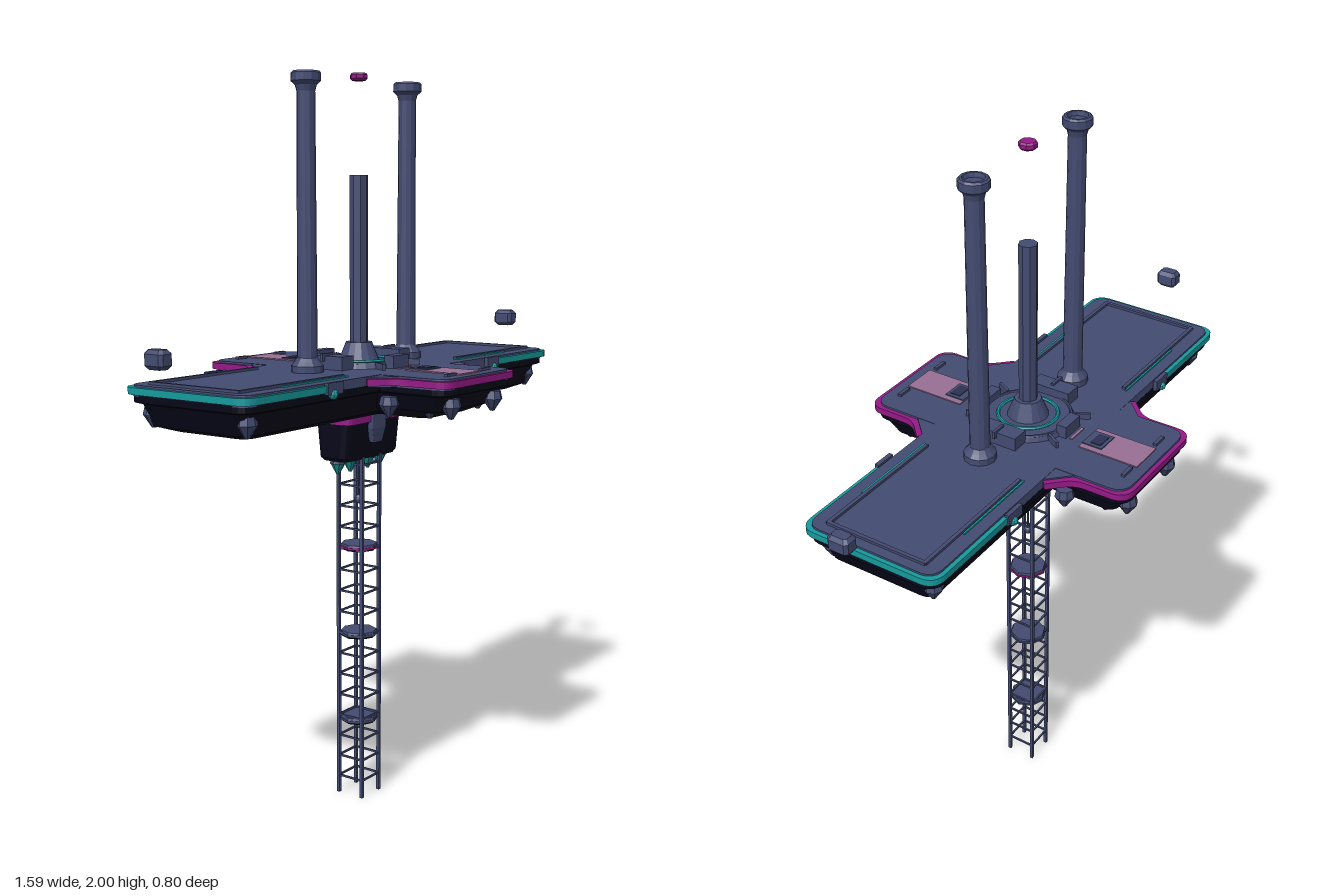
import * as THREE from 'three';

const mat = (name, color) => {
  const m = new THREE.MeshStandardMaterial({ color, flatShading: true });
  m.name = name;
  return m;
};
const navy = mat('navy', 0x434b71), dark = mat('hullDark', 0x060619), trim = mat('trimDark', 0x2b3150);
const teal = mat('teal', 0x169a9d), magenta = mat('magenta', 0x951a86), pink = mat('pinkStripe', 0x987094);

const DECK = 1.2, TOP = 1.228;

// Stacked rounded rectangles [y, halfX, halfZ, cornerRadius], lowest first, capped
function loft(rings, seg = 4) {
  const loops = rings.map(([y, hx, hz, r]) => {
    const pts = [];
    [[1, 1], [-1, 1], [-1, -1], [1, -1]].forEach(([sx, sz], q) => {
      for (let i = 0; i <= seg; i++) {
        const a = (q + i / seg) * Math.PI / 2;
        pts.push([sx * (hx - r) + r * Math.cos(a), y, sz * (hz - r) + r * Math.sin(a)]);
      }
    });
    return pts;
  });
  const pos = [], n = loops[0].length, last = loops.length - 1;
  for (let j = 0; j < n; j++) {
    const k = (j + 1) % n;
    for (let i = 0; i < last; i++) {
      const a = loops[i], b = loops[i + 1];
      pos.push(...a[j], ...b[j], ...a[k], ...b[j], ...b[k], ...a[k]);
    }
    pos.push(0, rings[0][0], 0, ...loops[0][j], ...loops[0][k]);
    pos.push(0, rings[last][0], 0, ...loops[last][k], ...loops[last][j]);
  }
  const g = new THREE.BufferGeometry();
  g.setAttribute('position', new THREE.Float32BufferAttribute(pos, 3));
  g.computeVertexNormals();
  return g;
}

// Square strip along a flat polyline of [x, z] points with rounded corners
function rimStrip(pts, y, half, corner = 0.035) {
  const path = new THREE.CurvePath(), v = pts.map(([x, z]) => new THREE.Vector3(x, y, z));
  let from = v[0];
  for (let i = 1; i < v.length - 1; i++) {
    const a = v[i].clone().lerp(v[i - 1], Math.min(0.4, corner / v[i].distanceTo(v[i - 1])));
    const b = v[i].clone().lerp(v[i + 1], Math.min(0.4, corner / v[i].distanceTo(v[i + 1])));
    path.add(new THREE.LineCurve3(from, a));
    path.add(new THREE.QuadraticBezierCurve3(a, v[i], b));
    from = b;
  }
  path.add(new THREE.LineCurve3(from, v[v.length - 1]));
  const section = new THREE.Shape([[-1, -1], [1, -1], [1, 1], [-1, 1]].map(([a, b]) => new THREE.Vector2(a * half, b * half)));
  return new THREE.ExtrudeGeometry(section, { steps: 120, extrudePath: path, bevelEnabled: false });
}

export function createModel() {
  const root = new THREE.Group();
  const add = (name, geo, m, x = 0, y = 0, z = 0) => {
    const mesh = new THREE.Mesh(geo, m);
    mesh.name = name;
    mesh.position.set(x, y, z);
    root.add(mesh);
    return mesh;
  };
  const box = (name, m, w, h, d, x, y, z) => add(name, new THREE.BoxGeometry(w, h, d), m, x, y, z);
  const cyl = (name, m, rt, rb, h, x, y, z, n = 16) => add(name, new THREE.CylinderGeometry(rt, rb, h, n), m, x, y, z);
  const both = [-1, 1];
  const corners = (fn) => both.forEach(sx => both.forEach(sz => fn(sx, sz)));

  // Cross-shaped deck: two rounded slabs and four corner gussets
  add('longDeck', loft([[DECK, 0.69, 0.19, 0.035], [TOP, 0.688, 0.188, 0.035]]), navy);
  add('shortDeck', loft([[DECK, 0.166, 0.39, 0.04], [TOP, 0.163, 0.388, 0.04]]), navy);
  corners((sx, sz) => {
    const s = new THREE.Shape([[0.155, 0.18], [0.22, 0.18], [0.22, 0.188], [0.163, 0.245], [0.155, 0.245]]
      .map(([x, z]) => new THREE.Vector2(sx * x, sz * z)));
    const g = new THREE.ExtrudeGeometry(s, { depth: TOP - DECK - 0.001, bevelEnabled: false });
    add('deckGusset', g.rotateX(-Math.PI / 2), navy, 0, DECK, 0);
  });

  // Coloured rims around each arm, set just below the deck edge
  for (const s of both) {
    add('tealRim', rimStrip([[s * 0.39, 0.191], [s * 0.691, 0.191], [s * 0.691, -0.191], [s * 0.39, -0.191]], 1.214, 0.009), teal);
    add('magentaRim', rimStrip([[-0.225, s * 0.191], [-0.166, s * 0.25], [-0.166, s * 0.391],
      [0.166, s * 0.391], [0.166, s * 0.25], [0.225, s * 0.191]], 1.214, 0.009), magenta);
  }

  // Tapered hull under both arms
  add('longHull', loft([[1.11, 0.61, 0.12, 0.03], [1.125, 0.655, 0.155, 0.03], [1.18, 0.675, 0.175, 0.04],
    [1.185, 0.69, 0.19, 0.04], [1.205, 0.69, 0.19, 0.04]]), dark);
  add('shortHull', loft([[1.115, 0.1, 0.29, 0.03], [1.14, 0.14, 0.35, 0.03], [1.18, 0.155, 0.375, 0.04],
    [1.185, 0.165, 0.39, 0.04], [1.205, 0.165, 0.39, 0.04]]), dark);

  // Lamps below, clips along the edges, slots on the deck
  corners((sx, sz) => {
    for (const [x, z] of [[0.64, 0.15], [0.115, 0.31], [0.1, 0.365], [0.16, 0.215], [0.1, 0.14]]) {
      cyl('lampBase', navy, 0.022, 0.027, 0.022, sx * x, 1.163, sz * z, 8);
      cyl('lampCone', navy, 0.027, 0.006, 0.032, sx * x, 1.136, sz * z, 8);
    }
    box('edgeClip', navy, 0.06, 0.03, 0.012, sx * 0.37, 1.215, sz * 0.198);
    add('clipLight', new THREE.SphereGeometry(0.013, 8, 6), teal, sx * 0.375, 1.2, sz * 0.2);
    box('deckSlot', navy, 0.042, 0.01, 0.01, sx * 0.083, TOP + 0.002, sz * 0.35);
  });

  // Long-arm panel frames
  for (const sx of both) {
    for (const sz of both) {
      box('panelBar', navy, 0.4, 0.01, 0.01, sx * 0.46, TOP + 0.002, sz * 0.143);
      box('panelLight', teal, 0.26, 0.006, 0.005, sx * 0.385, TOP + 0.001, sz * 0.153);
    }
    box('panelEnd', navy, 0.01, 0.01, 0.29, sx * 0.657, TOP + 0.002, 0);
  }

  // Painted walkway stripes with hatches
  for (const s of both) {
    box('walkwayStripe', pink, 0.1, 0.004, 0.173, 0, TOP + 0.001, s * 0.274);
    box('walkwayBand', pink, 0.06, 0.004, 0.008, 0, TOP + 0.001, s * 0.152);
    box('hatch', navy, 0.066, 0.008, 0.058, 0, TOP + 0.002, s * 0.217);
    box('hatchInset', trim, 0.046, 0.008, 0.03, 0, TOP + 0.004, s * 0.222);
  }

  // Central hub with ring, blocks and radial fins
  const ringAt = (name, m, r, t, y) => add(name, new THREE.TorusGeometry(r, t, 6, 32).rotateX(Math.PI / 2), m, 0, y, 0);
  cyl('hubDisc', navy, 0.12, 0.125, 0.014, 0, TOP + 0.006, 0, 32);
  ringAt('hubRing', navy, 0.115, 0.005, 1.24);
  ringAt('hubLight', teal, 0.08, 0.005, 1.243);
  cyl('hubCollar', navy, 0.036, 0.056, 0.05, 0, 1.265, 0, 16);
  for (const s of both) {
    box('hubSideBlock', navy, 0.05, 0.036, 0.12, s * 0.13, 1.246, 0);
    box('hubEndBlock', navy, 0.07, 0.034, 0.03, 0, 1.245, s * 0.125);
  }
  for (let i = 0; i < 6; i++) {
    const a = i * Math.PI / 3;
    const fin = box('hubFin', navy, 0.045, 0.02, 0.008, 0.143 * Math.cos(a), i % 3 ? 1.235 : 1.26, 0.143 * Math.sin(a));
    fin.rotation.y = -a;
  }

  // Central mast, floating beacon
  cyl('mast', navy, 0.025, 0.025, 0.485, 0, 1.4925, 0, 8);
  add('beacon', loft([[1.98, 0.017, 0.017, 0.01], [1.985, 0.022, 0.022, 0.013],
    [1.995, 0.022, 0.022, 0.013], [2.0, 0.018, 0.018, 0.01]], 1), magenta);

  // Tall columns with flared bases and capitals
  const profile = [[0, 1.22], [0.043, 1.22], [0.043, 1.245], [0.034, 1.256], [0.027, 1.266],
    [0.024, 1.94], [0.028, 1.955], [0.039, 1.965], [0.039, 1.985], [0.034, 1.99], [0.028, 1.99], [0.026, 1.978], [0, 1.978]]
    .map(p => new THREE.Vector2(...p));
  for (const s of both) {
    add('column', new THREE.LatheGeometry(profile, 12), navy, s * 0.225, 0, 0);
    // Floating side drones
    add('sideDrone', loft([[1.284, 0.014, 0.022, 0.006], [1.294, 0.022, 0.03, 0.008],
      [1.321, 0.022, 0.03, 0.008], [1.331, 0.014, 0.022, 0.006]], 1), navy, s * 0.774, 0, 0);
  }

  // Pod under the hull with band, grille and thrusters
  add('pod', loft([[0.975, 0.115, 0.042, 0.02], [0.985, 0.125, 0.046, 0.02], [1.115, 0.125, 0.06, 0.02]]), dark);
  add('podBand', loft([[1.078, 0.128, 0.064, 0.022], [1.108, 0.128, 0.064, 0.022]]), magenta);
  for (const s of both) {
    add('podGrille', loft([[1.02, 0.02, 0.008, 0.003], [1.06, 0.032, 0.012, 0.003], [1.1, 0.032, 0.012, 0.003]]), navy, 0, 0, s * 0.058);
    for (const x of [0.095, 0.04]) {
      cyl('thruster', navy, 0.016, 0.022, 0.03, s * x, 0.982, 0, 8);
      cyl('thrusterTip', teal, 0.021, 0.004, 0.032, s * x, 0.952, 0, 8);
    }
  }

  // Lattice tower: legs, rungs, platforms, central cable
  corners((sx, sz) => box('towerLeg', navy, 0.009, 0.98, 0.009, sx * 0.04, 0.49, sz * 0.04));
  for (let y = 0.05; y < 0.96; y += 0.0605) {
    for (const s of both) {
      box('towerRungX', navy, 0.08, 0.005, 0.005, 0, y, s * 0.04);
      box('towerRungZ', navy, 0.005, 0.005, 0.08, s * 0.04, y, 0);
    }
  }
  for (const y of [0.22, 0.47, 0.72]) {
    cyl('towerPlatform', navy, 0.05, 0.052, 0.006, 0, y + 0.006, 0, 8);
    cyl('platformEdge', y > 0.7 ? magenta : navy, 0.054, 0.054, 0.006, 0, y, 0, 8);
    cyl('platformUnderside', dark, 0.052, 0.048, 0.005, 0, y - 0.0055, 0, 8);
  }
  cyl('towerCable', navy, 0.003, 0.003, 0.13, 0, 0.915, 0, 6);
  add('cableWeight', new THREE.SphereGeometry(0.013, 8, 6), navy, 0, 0.853, 0);
  return root;
}
